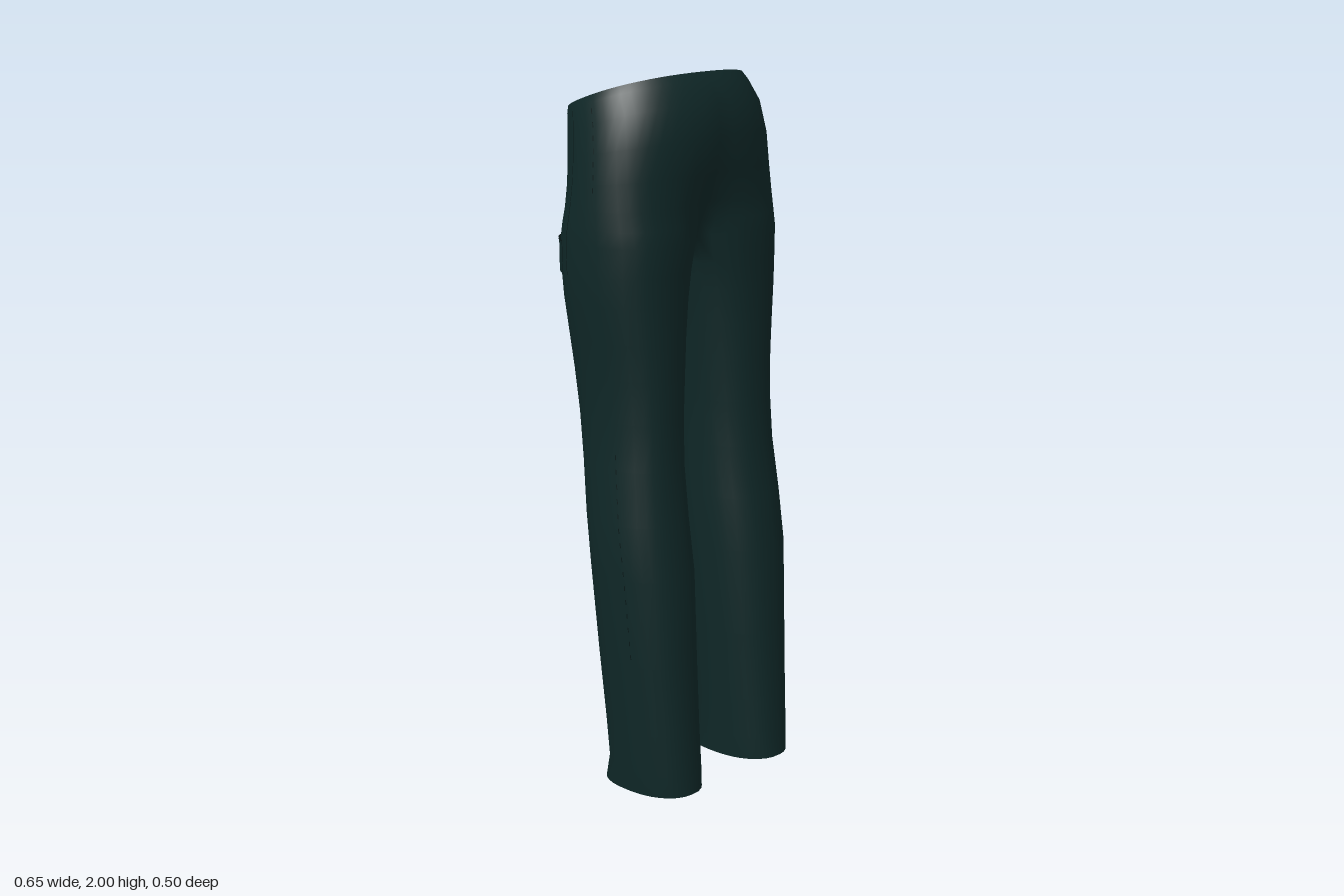
import * as THREE from 'three';
import { mergeVertices } from 'three/addons/utils/BufferGeometryUtils.js';

const OUTER = 24, INNER = 6;

// hips, top to bottom: y at z = 0, slope of y along z, half width, front z, back z, blend to a single oval
const HIPS = [
  [1.963, 0.333, 0.265, 0.11, -0.25, 1],
  [1.94, 0.32, 0.276, 0.125, -0.246, 1],
  [1.88, 0.27, 0.292, 0.16, -0.236, 1],
  [1.8, 0.18, 0.306, 0.175, -0.222, 0.95],
  [1.72, 0.1, 0.315, 0.171, -0.208, 0.78],
  [1.65, 0.04, 0.321, 0.164, -0.2, 0.48],
  [1.6, 0.01, 0.324, 0.161, -0.2, 0.2],
  [1.56, 0, 0.325, 0.16, -0.2, 0],
];
// legs, top to bottom: y, inner x, outer x, front z, back z
const LEGS = [
  [1.48, 0.01, 0.324, 0.158, -0.198],
  [1.4, 0.025, 0.319, 0.157, -0.19],
  [1.3, 0.04, 0.307, 0.158, -0.178],
  [1.2, 0.05, 0.297, 0.159, -0.165],
  [1.08, 0.061, 0.291, 0.161, -0.148],
  [0.95, 0.066, 0.295, 0.167, -0.13],
  [0.8, 0.065, 0.307, 0.185, -0.11],
  [0.65, 0.065, 0.307, 0.208, -0.095],
  [0.4, 0.073, 0.296, 0.222, -0.073],
  [0.2, 0.08, 0.285, 0.235, -0.055],
  [0.08, 0.081, 0.28, 0.243, -0.046],
  [0.01, 0.083, 0.275, 0.248, -0.066],
];

const pow = (v) => Math.sign(v) * Math.abs(v) ** 0.86;
const rad = THREE.MathUtils.degToRad;

function oval(y, xIn, xOut, zF, zB, a) {
  return new THREE.Vector3(
    (xIn + xOut) / 2 + ((xOut - xIn) / 2) * pow(Math.sin(a)), y,
    (zF + zB) / 2 + ((zF - zB) / 2) * pow(Math.cos(a)));
}

// point on a hip row, t from front centre (0) round the side to back centre (1)
function hipPoint([y, slope, rx, zF, zB, w], t) {
  const leg = oval(y, 0, rx, zF, zB, rad(-60 + 300 * t));
  leg.x -= oval(y, 0, rx, zF, zB, rad(-60)).x * Math.abs(2 * t - 1) ** 8;
  const p = leg.lerp(oval(y, -rx, rx, zF, zB, Math.PI * t), w);
  if (t === 0 || t === 1) p.x = 0;
  p.y = y + slope * p.z;
  return p;
}

// leg rows are slightly low at the back of the hem
function legPoint(row, a) {
  const p = oval(...row, a);
  if (row[0] < 0.05) p.y = 0.01 + 0.01 * Math.cos(a);
  return p;
}

const outerRows = [
  ...HIPS.map((r) => (t) => hipPoint(r, t)),
  ...LEGS.map((r) => (t) => legPoint(r, rad(-60 + 300 * t))),
];

// point on the outer surface at a given height
function surface(t, y) {
  let i = 0;
  while (i < outerRows.length - 2 && outerRows[i + 1](t).y > y) i++;
  const a = outerRows[i](t), b = outerRows[i + 1](t);
  return a.lerp(b, THREE.MathUtils.clamp((a.y - y) / (a.y - b.y), 0, 1));
}

// join rows of points into a surface, on both sides of the body
function skin(sheets) {
  const pos = [];
  for (const side of [1, -1]) {
    const put = (...ps) => {
      if (side < 0) ps.reverse();
      for (const p of ps) pos.push(side * p.x, p.y, p.z);
    };
    for (const rows of sheets)
      for (let i = 0; i + 1 < rows.length; i++)
        for (let j = 0; j + 1 < rows[i].length; j++) {
          const a = rows[i][j], b = rows[i + 1][j], c = rows[i + 1][j + 1], d = rows[i][j + 1];
          put(a, b, c);
          put(a, c, d);
        }
  }
  let g = new THREE.BufferGeometry();
  g.setAttribute('position', new THREE.Float32BufferAttribute(pos, 3));
  g = mergeVertices(g, 1e-4);
  g.computeVertexNormals();
  return g;
}

const range = (n, f) => Array.from({ length: n + 1 }, (_, i) => f(i / n));

// thin patch lying just off the cloth
function patch(t0, t1, y0, y1, nt, ny, lift) {
  return range(ny, (v) => range(nt, (u) => {
    const t = t0 + (t1 - t0) * u, y = y1 + (y0 - y1) * v;
    const p = surface(t, y), e = 0.01;
    const across = surface(t + e, y).sub(surface(t - e, y));
    const down = surface(t, y - e).sub(surface(t, y + e));
    return p.addScaledVector(down.cross(across).normalize(), lift);
  }));
}

export function createModel() {
  const cloth = new THREE.MeshStandardMaterial({ color: 0x0f2727, side: THREE.DoubleSide });
  cloth.name = 'dark green cloth';
  const thread = new THREE.MeshStandardMaterial({ color: 0x081717, side: THREE.DoubleSide });
  thread.name = 'dark thread';
  const group = new THREE.Group();
  group.name = 'trousers';
  const add = (name, sheets, material) => {
    const mesh = new THREE.Mesh(skin(sheets), material);
    mesh.name = name;
    group.add(mesh);
  };

  // hips and legs as one continuous cloth
  const hips = HIPS.map((r) => range(OUTER, (t) => hipPoint(r, t)));
  const top = hips[hips.length - 1];
  const front = top[0], back = top[OUTER];
  const crotch = range(INNER, (s) => {
    const p = back.clone().lerp(front, s);
    p.y -= 0.045 * Math.sin(Math.PI * s);
    return p;
  });
  const ring = (r) => [
    ...range(OUTER, (t) => legPoint(r, rad(-60 + 300 * t))),
    ...range(INNER, (s) => legPoint(r, rad(240 + 60 * s))).slice(1),
  ];
  const legs = [[...top, ...crotch.slice(1)], ...LEGS.map(ring)];
  add('hipsAndLegs', [hips, legs], cloth);

  // hem turned up inside each leg
  const hem = LEGS[LEGS.length - 1];
  const inner = (y, d) => ring([y, hem[1] + d, hem[2] - d, hem[3] - d, hem[4] + d]);
  add('hemLining', [[ring(hem), inner(0.03, 0.025), inner(0.08, 0.032)]], cloth);

  // pocket flaps on the outer back of the thighs
  add('pocketFlap', [patch(0.59, 0.7, 1.47, 1.56, 8, 4, 0.004)], cloth);
  add('pocketStitching', [
    patch(0.59, 0.7, 1.557, 1.561, 8, 1, 0.006),
    patch(0.588, 0.592, 1.47, 1.56, 1, 4, 0.006),
    patch(0.698, 0.702, 1.47, 1.56, 1, 4, 0.006),
  ], thread);

  // hip seams and dashed stitching down the calves
  add('hipSeam', [patch(0.568, 0.571, 1.47, 1.9, 1, 14, 0.002)], thread);
  const dashes = (t, from, to, n) => range(n, (k) => {
    const y = from + (to - from) * k;
    return patch(t - 0.002, t + 0.002, y, y + 0.014, 1, 1, 0.002);
  });
  add('sideStitching', [...dashes(0.47, 1.7, 1.9, 6), ...dashes(0.45, 0.42, 0.98, 14)], thread);
  return group;
}
